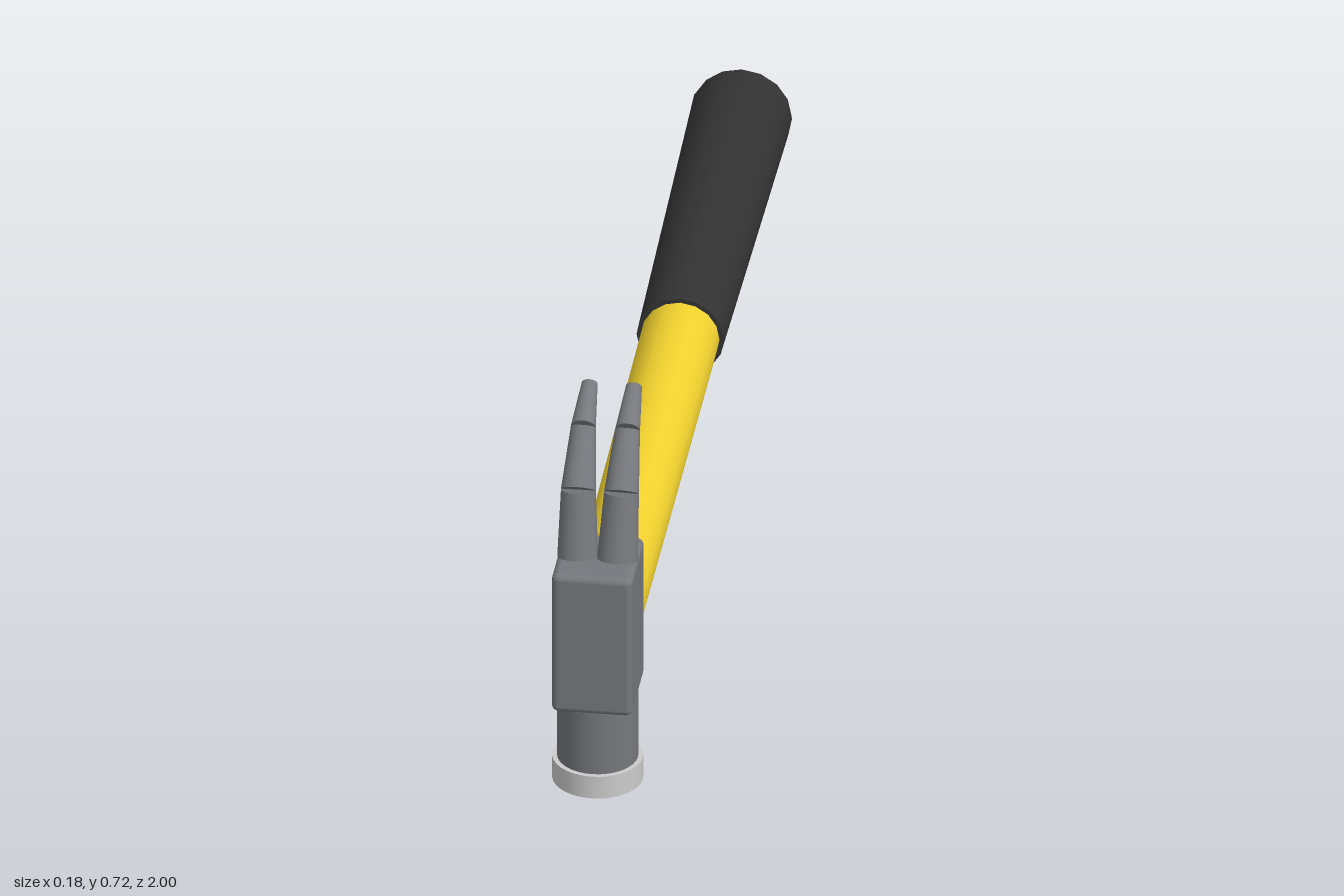
import * as THREE from 'three';
import { RoundedBoxGeometry } from 'three/addons/geometries/RoundedBoxGeometry.js';

const HEAD_Z = 0.918;  // centre of the head, front to back
const AXIS_Y = 0.286;  // height of the handle axis

const mat = (color) => new THREE.MeshStandardMaterial({ color });
const steel = mat(0x76787d);
const polished = mat(0xcccccc);
const yellow = mat(0xf2d22e);
const rubber = mat(0x333333);

function add(parent, name, geometry, material, x = 0, y = 0, z = 0) {
  const mesh = new THREE.Mesh(geometry, material);
  mesh.name = name;
  mesh.position.set(x, y, z);
  parent.add(mesh);
  return mesh;
}

// Tapered round rod between two points, slightly flattened in depth
function rod(parent, name, a, b, ra, rb, depth, material) {
  const dir = b.clone().sub(a);
  const geometry = new THREE.CylinderGeometry(rb, ra, dir.length(), 16);
  geometry.scale(1, 1, depth);
  const mid = a.clone().add(b).multiplyScalar(0.5);
  const mesh = add(parent, name, geometry, material, mid.x, mid.y, mid.z);
  mesh.quaternion.setFromUnitVectors(new THREE.Vector3(0, 1, 0), dir.normalize());
}

// Straight tapered bar along z, from zFront back to zBack
function bar(parent, name, zFront, zBack, rFront, rBack, material) {
  const geometry = new THREE.CylinderGeometry(rFront, rBack, zFront - zBack, 16);
  geometry.rotateX(Math.PI / 2);
  add(parent, name, geometry, material, 0, AXIS_Y, (zFront + zBack) / 2);
}

export function createModel() {
  const hammer = new THREE.Group();
  hammer.name = 'clawHammer';

  // Head: block, neck and striking face
  const head = new THREE.Group();
  head.name = 'head';
  hammer.add(head);
  add(head, 'headBlock', new RoundedBoxGeometry(0.146, 0.283, 0.164, 3, 0.012), steel, 0, 0.3135, HEAD_Z);
  add(head, 'neck', new THREE.CylinderGeometry(0.073, 0.073, 0.14, 32), steel, 0, 0.11, HEAD_Z);
  add(head, 'strikingFace', new THREE.CylinderGeometry(0.082, 0.082, 0.045, 32), polished, 0, 0.0225, HEAD_Z);

  // Claws: three tapering segments each, bending back: [x, y, z, radius]
  const bends = [
    [0.036, 0.452, 0.919, 0.037],
    [0.039, 0.573, 0.889, 0.0315],
    [0.040, 0.662, 0.817, 0.0225],
    [0.040, 0.704, 0.734, 0.0145],
  ];
  for (const side of [1, -1]) {
    const claw = new THREE.Group();
    claw.name = side > 0 ? 'leftClaw' : 'rightClaw';
    head.add(claw);
    for (let i = 0; i < 3; i++) {
      const [a, b] = [bends[i], bends[i + 1]];
      rod(claw, 'clawSegment' + (i + 1),
        new THREE.Vector3(side * a[0], a[1], a[2]),
        new THREE.Vector3(side * b[0], b[1], b[2]), a[3], b[3], 0.9, steel);
    }
  }

  // Handle, grip and domed grip end
  bar(hammer, 'handle', 0.88, -0.2, 0.068, 0.071, yellow);
  bar(hammer, 'grip', -0.16, -0.955, 0.079, 0.092, rubber);
  const dome = new THREE.SphereGeometry(0.092, 16, 8, 0, Math.PI * 2, 0, Math.PI / 2);
  dome.scale(1, 0.5, 1);
  dome.rotateX(-Math.PI / 2);
  add(hammer, 'gripEnd', dome, rubber, 0, AXIS_Y, -0.954);

  return hammer;
}
